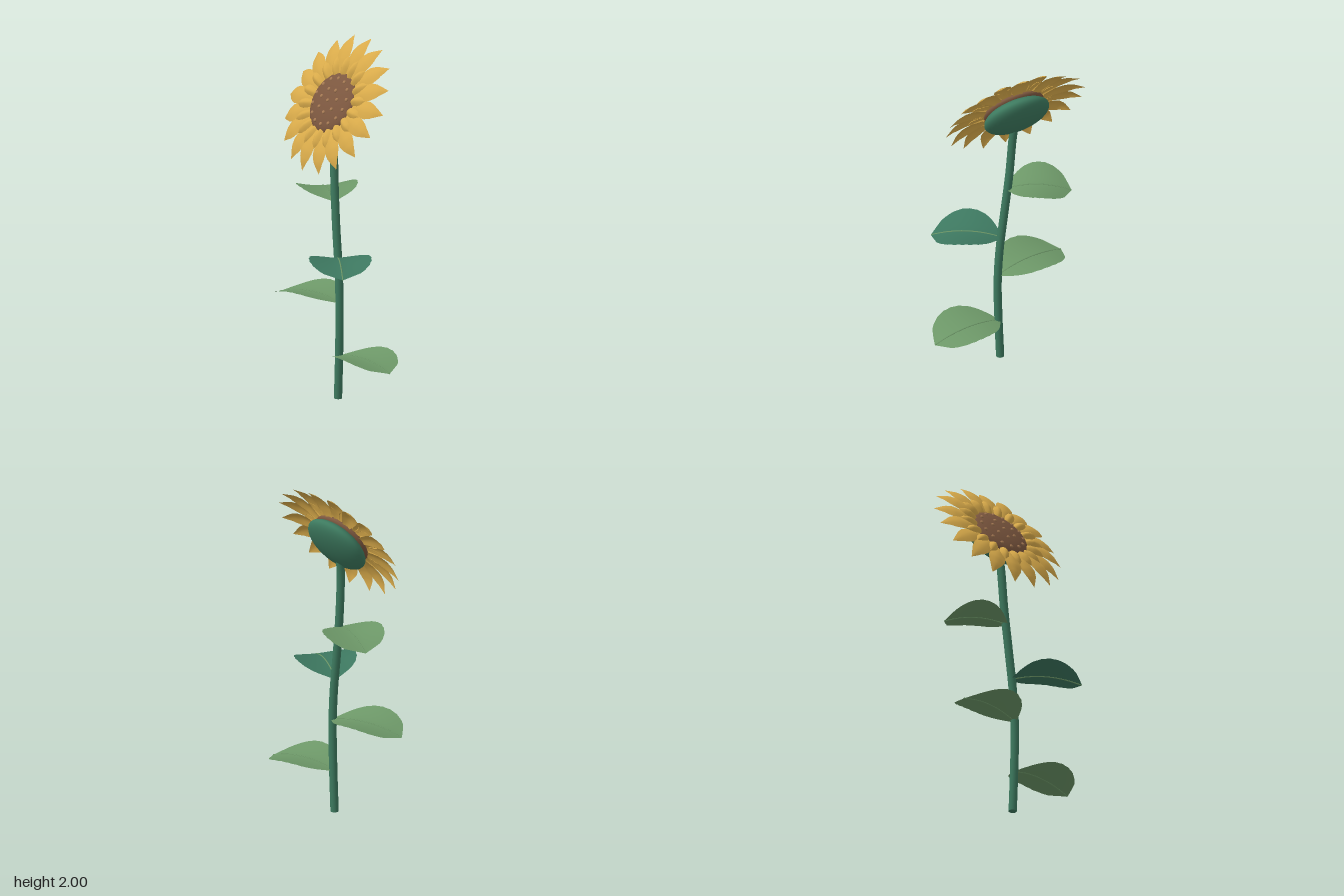
import * as THREE from 'three';

const mat = (name, color, side = THREE.FrontSide) => {
  const m = new THREE.MeshStandardMaterial({ color, side });
  m.name = name;
  return m;
};

// Piecewise-linear lookup through evenly spaced values
function sample(values, t) {
  const f = t * (values.length - 1);
  const i = Math.min(Math.floor(f), values.length - 2);
  return THREE.MathUtils.lerp(values[i], values[i + 1], f - i);
}

// Thin curved blade along +y from y0 to y1, facing +z.
// width(t): half width, rise(t): centre-line height, cup: lift of the edges
function bladeGeometry(y0, y1, rows, cols, width, rise, cup) {
  const pos = [], index = [];
  for (let i = 0; i <= rows; i++) {
    const t = i / rows, w = width(t, i);
    for (let j = 0; j <= cols; j++) {
      const s = (j / cols) * 2 - 1;
      pos.push(s * w, y0 + (y1 - y0) * t, rise(t) + cup * Math.pow(Math.abs(s), 1.5) * Math.sin(Math.PI * t));
      if (i < rows && j < cols) {
        const a = i * (cols + 1) + j, c = a + cols + 1;
        index.push(a, a + 1, c, a + 1, c + 1, c);
      }
    }
  }
  const g = new THREE.BufferGeometry();
  g.setAttribute('position', new THREE.Float32BufferAttribute(pos, 3));
  g.setIndex(index);
  g.computeVertexNormals();
  return g;
}

export function createModel() {
  const petalMat = mat('petal yellow', 0xd8aa4a, THREE.DoubleSide);
  const leafMat = mat('leaf green', 0x6d9868, THREE.DoubleSide);
  const deepLeafMat = mat('deep leaf green', 0x3d7860, THREE.DoubleSide);
  const stemMat = mat('stem green', 0x3d7a5f);
  const discMat = mat('disc brown', 0x7c573f);
  const seedMat = mat('seed brown', 0xa67a54);

  const model = new THREE.Group();
  model.name = 'sunflower';
  const add = (parent, name, geometry, material) => {
    const m = new THREE.Mesh(geometry, material);
    m.name = name;
    parent.add(m);
    return m;
  };

  // Gently swaying stem
  const path = new THREE.CatmullRomCurve3([
    [0.03, 0, -0.01], [0.04, 0.25, -0.01], [0.045, 0.5, -0.01], [0.034, 0.72, -0.012],
    [0.005, 0.98, -0.015], [-0.02, 1.22, -0.022], [-0.035, 1.45, -0.03], [-0.042, 1.57, -0.045],
  ].map((p) => new THREE.Vector3(...p)));
  add(model, 'stem', new THREE.TubeGeometry(path, 40, 0.023, 14), stemMat);
  const foot = add(model, 'stemFoot', new THREE.CircleGeometry(0.023, 14), stemMat);
  foot.position.set(0.03, 0.001, -0.01);
  foot.rotation.x = Math.PI / 2;

  // Leaves: base point, tip point on the ground plan, material
  const leafWidths = [0.02, 0.09, 0.135, 0.158, 0.17, 0.172, 0.165, 0.145, 0.105, 0.005];
  const leaves = [
    [0.04, 0.245, 0.445, -0.06, leafMat],
    [0.04, 0.55, -0.38, 0.09, leafMat],
    [0.025, 0.8, 0.355, 0.19, deepLeafMat],
    [-0.01, 1.12, -0.335, -0.15, leafMat],
  ];
  leaves.forEach(([x, y, tipX, tipZ, material], n) => {
    const dx = tipX - x, dz = tipZ + 0.01;
    const length = Math.hypot(dx, dz);
    const rise = (t) => 0.13 * t * (1 - t) - 0.018 * t;
    const leaf = new THREE.Group();
    leaf.name = 'leaf' + (n + 1);
    leaf.position.set(x, y, -0.01);
    leaf.rotation.set(-Math.PI / 2, Math.atan2(-dx, -dz), 0, 'YXZ');
    // slightly toothed outline
    const width = (t, i) => sample(leafWidths, t) * (i % 2 ? 1.015 : 0.985);
    add(leaf, 'leafBlade', bladeGeometry(0, length, 18, 8, width, rise, 0.03), material);
    const rib = new THREE.CatmullRomCurve3([0, 0.25, 0.5, 0.75, 1].map(
      (t) => new THREE.Vector3(0, t * length, rise(t))));
    add(leaf, 'leafMidrib', new THREE.TubeGeometry(rib, 16, 0.004, 6), leafMat);
    model.add(leaf);
  });

  // Flower head, tilted up; local +z is the way it faces
  const head = new THREE.Group();
  head.name = 'flowerHead';
  head.position.set(-0.043, 1.65, -0.055);
  head.rotation.x = -0.53;
  model.add(head);

  // Green back of the head
  const calyx = add(head, 'calyx', new THREE.SphereGeometry(1, 40, 20), stemMat);
  calyx.scale.set(0.19, 0.19, 0.062);
  calyx.position.z = -0.017;

  // Domed seed disc
  const disc = add(head, 'seedDisc', new THREE.SphereGeometry(1, 40, 20), discMat);
  disc.scale.set(0.175, 0.175, 0.042);
  disc.position.z = 0.03;

  // Seeds in rings: radius, count
  const seedGeo = new THREE.SphereGeometry(0.011, 10, 8);
  [[0, 1], [0.07, 7], [0.135, 14]].forEach(([r, count]) => {
    for (let k = 0; k < count; k++) {
      const a = (k / count) * Math.PI * 2 + 0.3;
      const seed = add(head, 'seed', seedGeo, seedMat);
      seed.position.set(r * Math.cos(a), r * Math.sin(a), 0.03 + 0.042 * Math.sqrt(1 - (r / 0.175) ** 2));
      seed.scale.z = 0.7;
    }
  });

  // Two rings of arched petals
  const outerWidths = [0.018, 0.026, 0.036, 0.045, 0.051, 0.051, 0.041, 0.022, 0.001];
  const innerWidths = [0.014, 0.022, 0.028, 0.03, 0.024, 0.001];
  const outerGeo = bladeGeometry(0.14, 0.408, 16, 6, (t) => sample(outerWidths, t),
    (t) => sample([0.026, 0.042, 0.05, 0.047, 0.032, 0.002], t), -0.01);
  const innerGeo = bladeGeometry(0.14, 0.275, 10, 6, (t) => sample(innerWidths, t),
    (t) => sample([0.03, 0.056, 0.066, 0.062, 0.042], t), -0.022);
  const petals = 18;
  for (let k = 0; k < petals; k++) {
    const a = -THREE.MathUtils.degToRad(5) - (k / petals) * Math.PI * 2;
    const outer = add(head, 'outerPetal', outerGeo, petalMat);
    outer.rotation.z = a;
    outer.position.z = k % 2 ? 0.003 : -0.003;
    const inner = add(head, 'innerPetal', innerGeo, petalMat);
    inner.rotation.z = a + Math.PI / petals;
  }
  return model;
}
